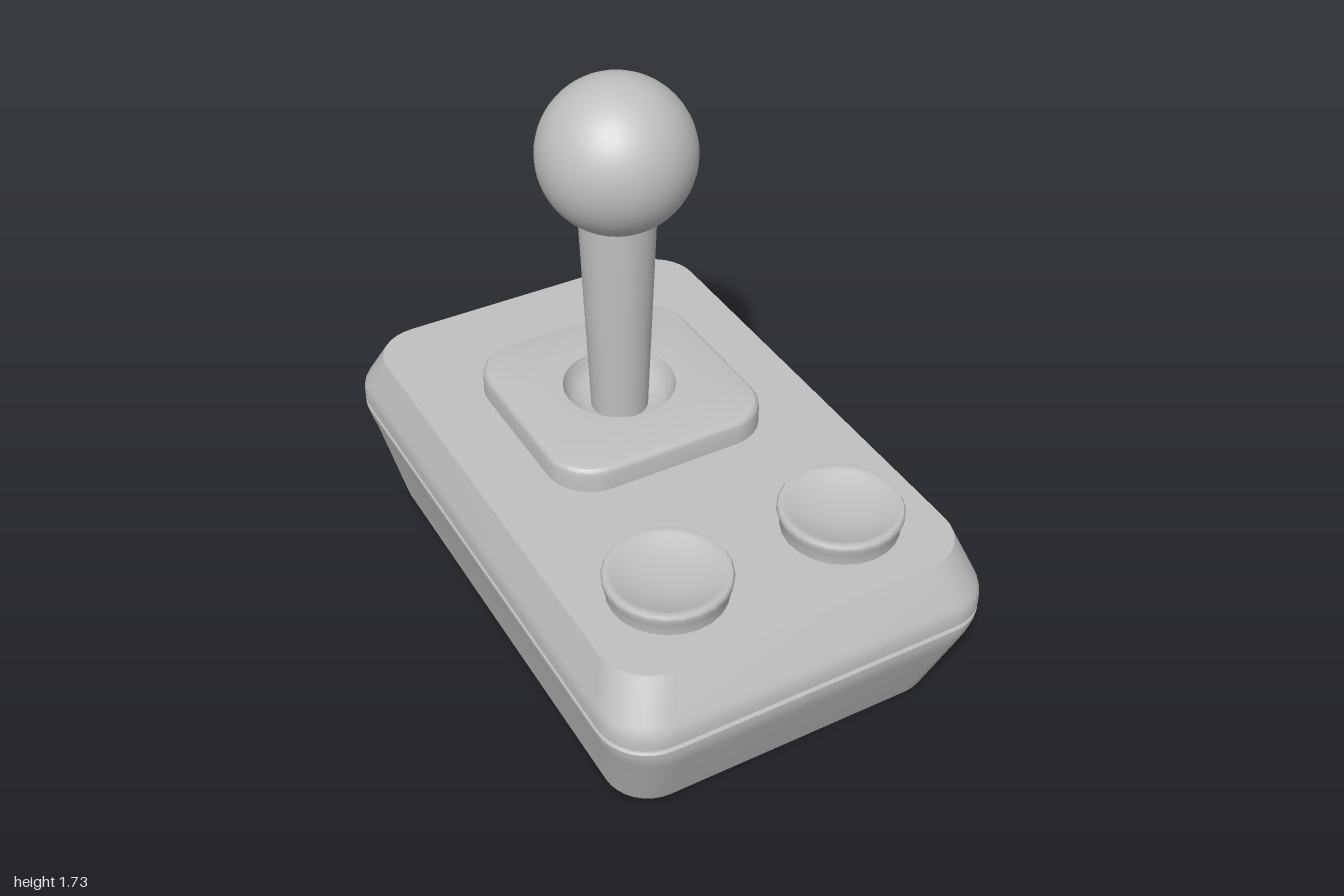
import * as THREE from 'three';
import { toCreasedNormals } from 'three/addons/utils/BufferGeometryUtils.js';

const CORNER_STEPS = 8;

// Outline of a rounded rectangle in the xz plane: half sizes hx, hz and corner radius r.
function roundedRing([y, hx, hz, r]) {
  const points = [];
  for (let k = 0; k < 4; k++) {
    const sx = k === 0 || k === 3 ? 1 : -1;
    const sz = k < 2 ? 1 : -1;
    for (let j = 0; j <= CORNER_STEPS; j++) {
      const a = (k + j / CORNER_STEPS) * Math.PI / 2;
      points.push([sx * (hx - r) + r * Math.cos(a), y, sz * (hz - r) + r * Math.sin(a)]);
    }
  }
  return points;
}

// Skin a stack of rounded rectangles, closed at both ends.
function loft(sections, crease = 0.5) {
  const rings = sections.map(roundedRing);
  const n = rings[0].length;
  const pos = [];
  const tri = (...corners) => corners.forEach((c) => pos.push(...c));
  for (let i = 0; i < rings.length - 1; i++) {
    for (let j = 0; j < n; j++) {
      const k = (j + 1) % n;
      const a = rings[i][j], b = rings[i][k], c = rings[i + 1][j], d = rings[i + 1][k];
      tri(a, c, b);
      tri(b, c, d);
    }
  }
  const first = rings[0], last = rings[rings.length - 1];
  const bottom = [0, sections[0][0], 0];
  const top = [0, sections[sections.length - 1][0], 0];
  for (let j = 0; j < n; j++) {
    const k = (j + 1) % n;
    tri(bottom, first[j], first[k]);
    tri(top, last[k], last[j]);
  }
  const geometry = new THREE.BufferGeometry();
  geometry.setAttribute('position', new THREE.Float32BufferAttribute(pos, 3));
  return toCreasedNormals(geometry, crease);
}

// Turn a profile of [radius, y] pairs around the y axis.
function turned(profile, sides, crease = 0.6) {
  const points = profile.map(([r, y]) => new THREE.Vector2(r, y));
  return toCreasedNormals(new THREE.LatheGeometry(points, sides), crease);
}

export function createModel() {
  const model = new THREE.Group();
  model.name = 'joystick';
  const grey = new THREE.MeshStandardMaterial({ color: 0xc0c0c0 });
  grey.name = 'plain grey';

  const add = (name, geometry, x = 0, y = 0, z = 0) => {
    const mesh = new THREE.Mesh(geometry, grey);
    mesh.name = name;
    mesh.position.set(x, y, z);
    model.add(mesh);
  };

  // Lower shell, flaring up to the seam
  add('lowerShell', loft([
    [0, 0.558, 0.875, 0.14],
    [0.265, 0.616, 0.982, 0.155],
    [0.295, 0.626, 0.993, 0.16],
    [0.325, 0.634, 0.999, 0.16],
    [0.343, 0.637, 1, 0.16],
    [0.35, 0.632, 0.995, 0.155],
  ]));

  // Recessed seam between the shells
  add('seam', loft([
    [0.345, 0.626, 0.989, 0.15],
    [0.365, 0.626, 0.989, 0.15],
  ]));

  // Upper shell, tapering to the flat deck
  add('upperShell', loft([
    [0.356, 0.632, 0.995, 0.155],
    [0.362, 0.637, 1, 0.16],
    [0.395, 0.637, 1, 0.16],
    [0.415, 0.635, 0.995, 0.16],
    [0.432, 0.63, 0.987, 0.16],
    [0.557, 0.586, 0.917, 0.155],
  ]));

  // Raised plate with a round hollow for the stick
  add('stickPlate', loft([
    [0.55, 0.368, 0.368, 0.15],
    [0.615, 0.368, 0.368, 0.15],
    [0.628, 0.365, 0.365, 0.147],
    [0.637, 0.357, 0.357, 0.139],
    [0.64, 0.346, 0.346, 0.128],
    [0.64, 0.183, 0.183, 0.183],
    [0.605, 0.172, 0.172, 0.172],
    [0.578, 0.148, 0.148, 0.148],
    [0.562, 0.11, 0.11, 0.11],
  ]), 0, 0, -0.208);

  // Stick, widening towards the ball
  add('stick', turned([[0, 0.55], [0.092, 0.55], [0.121, 1.268], [0.121, 1.28], [0, 1.28]], 32), 0, 0, -0.208);
  add('ball', new THREE.SphereGeometry(0.245, 40, 28), 0, 1.485, -0.208);

  // Two waisted buttons with dished tops
  const button = turned([
    [0.18, 0.55], [0.182, 0.575], [0.187, 0.598], [0.192, 0.615], [0.192, 0.625], [0.187, 0.633],
    [0.177, 0.635], [0.165, 0.631], [0.135, 0.618], [0.09, 0.606], [0.045, 0.6], [0, 0.598],
  ], 24);
  add('leftButton', button, 0.295, 0, 0.632);
  add('rightButton', button, -0.295, 0, 0.632);

  return model;
}
